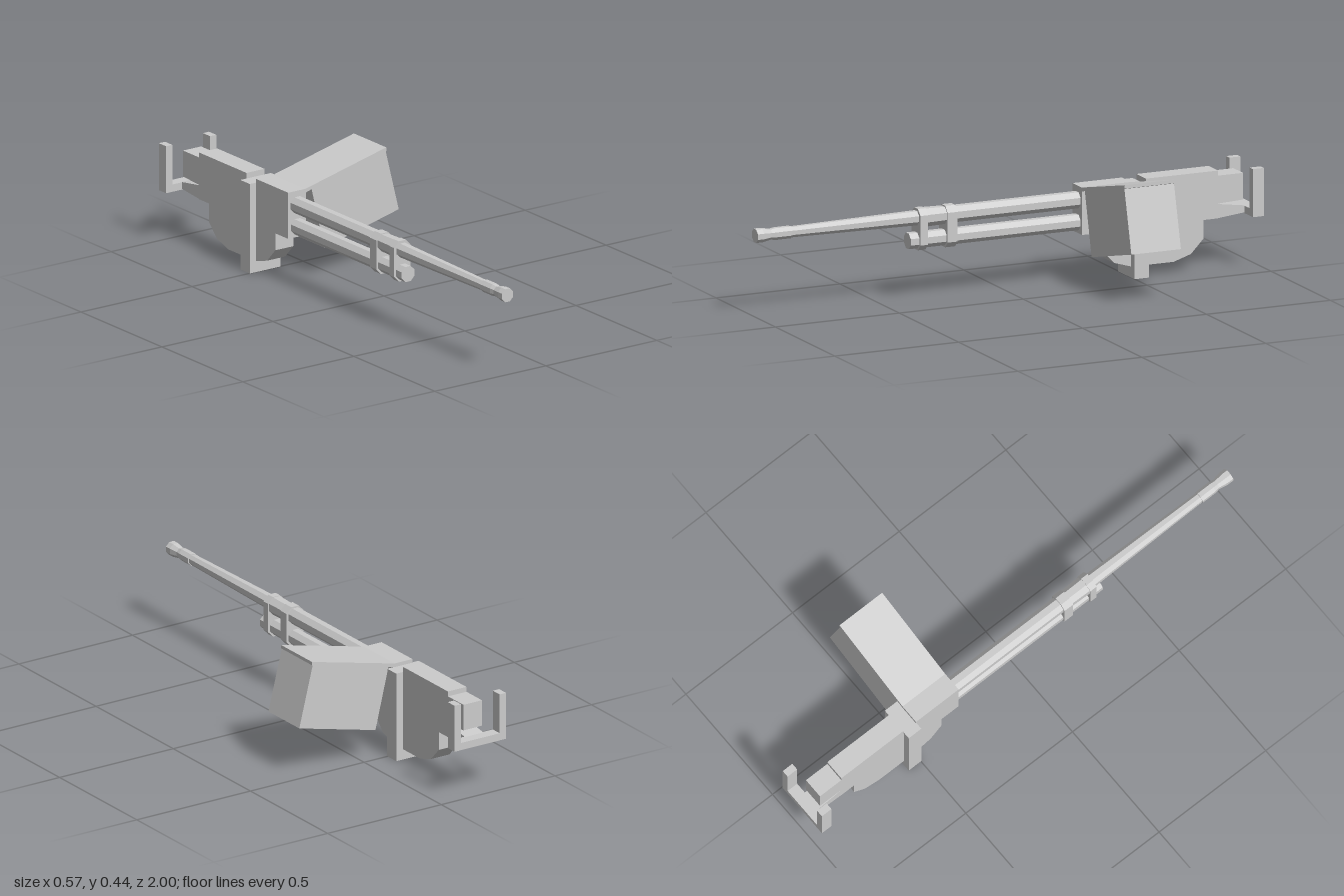
import * as THREE from 'three';

const AXIS = -0.172; // centre line of the gun in x
const HALF = 0.0405; // half width of the receiver

export function createModel() {
  const model = new THREE.Group();
  const material = new THREE.MeshStandardMaterial({ color: 0xcccccc, flatShading: true });

  const add = (name, geometry) => {
    const mesh = new THREE.Mesh(geometry, material);
    mesh.name = name;
    model.add(mesh);
    return mesh;
  };
  const box = (name, x0, x1, y0, y1, z0, z1) =>
    add(name, new THREE.BoxGeometry(x1 - x0, y1 - y0, z1 - z0)
      .translate((x0 + x1) / 2, (y0 + y1) / 2, (z0 + z1) / 2));
  const extrude = (points, depth) => new THREE.ExtrudeGeometry(
    new THREE.Shape(points.map(([x, y]) => new THREE.Vector2(x, y))), { depth, bevelEnabled: false });
  // Front outline (x, y) extruded along z
  const slab = (name, points, z0, z1) => add(name, extrude(points, z1 - z0).translate(0, 0, z0));
  // Side outline (z, y) extruded across the receiver
  const profile = (name, points) =>
    add(name, extrude(points, HALF * 2).rotateY(-Math.PI / 2).translate(AXIS + HALF, 0, 0));
  // Eight-sided turned part along z; points are (half width, z)
  const turned = (name, y, points) => add(name, new THREE.LatheGeometry(
    points.map(([r, z]) => new THREE.Vector2(r / Math.cos(Math.PI / 8), z)), 8, Math.PI / 8)
    .rotateX(Math.PI / 2).translate(AXIS, y, 0));

  // Barrel with jacket, taper and flared muzzle
  turned('barrelJacket', 0.304, [[0, -0.32], [0.03, -0.32], [0.03, 0.2], [0.032, 0.24], [0.034, 0.32], [0.034, 0.34], [0, 0.34]]);
  turned('barrel', 0.304, [[0, 0.3], [0.027, 0.3], [0.019, 0.87], [0, 0.87]]);
  turned('muzzle', 0.304, [[0, 0.86], [0.022, 0.86], [0.022, 0.92], [0.019, 0.94], [0.025, 0.975], [0.025, 1], [0, 1]]);
  turned('lowerTube', 0.221, [[0, -0.32], [0.029, -0.32], [0.029, 0.385], [0, 0.385]]);

  // Clamps tying both tubes together
  const clamp = [[-0.016, 0.185], [0.016, 0.185], [0.037, 0.207], [0.037, 0.318],
    [0.016, 0.34], [-0.016, 0.34], [-0.037, 0.318], [-0.037, 0.207]].map(([x, y]) => [x + AXIS, y]);
  for (const [z0, z1] of [[0.2, 0.24], [0.32, 0.35]]) slab('tubeClamp', clamp, z0, z1);

  // Receiver: front block, rounded belly, raised rear cover and tail
  box('frontBlock', AXIS - HALF, AXIS + HALF, 0.18, 0.357, -0.5, -0.3);
  profile('receiver', [[-0.38, 0.19], [-0.38, 0.115], [-0.43, 0.062], [-0.5, 0.041], [-0.67, 0.041],
    [-0.74, 0.063], [-0.79, 0.115], [-0.79, 0.185], [-0.85, 0.185], [-0.85, 0.364],
    [-0.558, 0.364], [-0.558, 0.335], [-0.38, 0.335]]);
  profile('tailBlock', [[-0.84, 0.24], [-0.95, 0.245], [-0.95, 0.345], [-0.84, 0.345]]);
  profile('tailArm', [[-0.84, 0.185], [-0.96, 0.197], [-0.96, 0.222], [-0.84, 0.24]]);
  box('mountingPlate', -0.241, -0.103, 0, 0.343, -0.557, -0.498);

  // Ammunition box hanging at a tilt from the feed cover
  slab('ammunitionBox', [[-0.107, 0.35], [-0.05, 0.115], [0.285, 0.197], [0.226, 0.432]], -0.5, -0.3);
  slab('feedCover', [[-0.135, 0.342], [-0.107, 0.35], [0.226, 0.43], [0.229, 0.432], [0.229, 0.445], [-0.135, 0.357]], -0.5, -0.3);

  // U-shaped rear grips
  const grip = [[-0.113, 0.194], [0.113, 0.194], [0.113, 0.374], [0.085, 0.374],
    [0.085, 0.222], [-0.085, 0.222], [-0.085, 0.374], [-0.113, 0.374]].map(([x, y]) => [x + AXIS, y]);
  slab('rearGrips', grip, -1, -0.955);

  return model;
}
